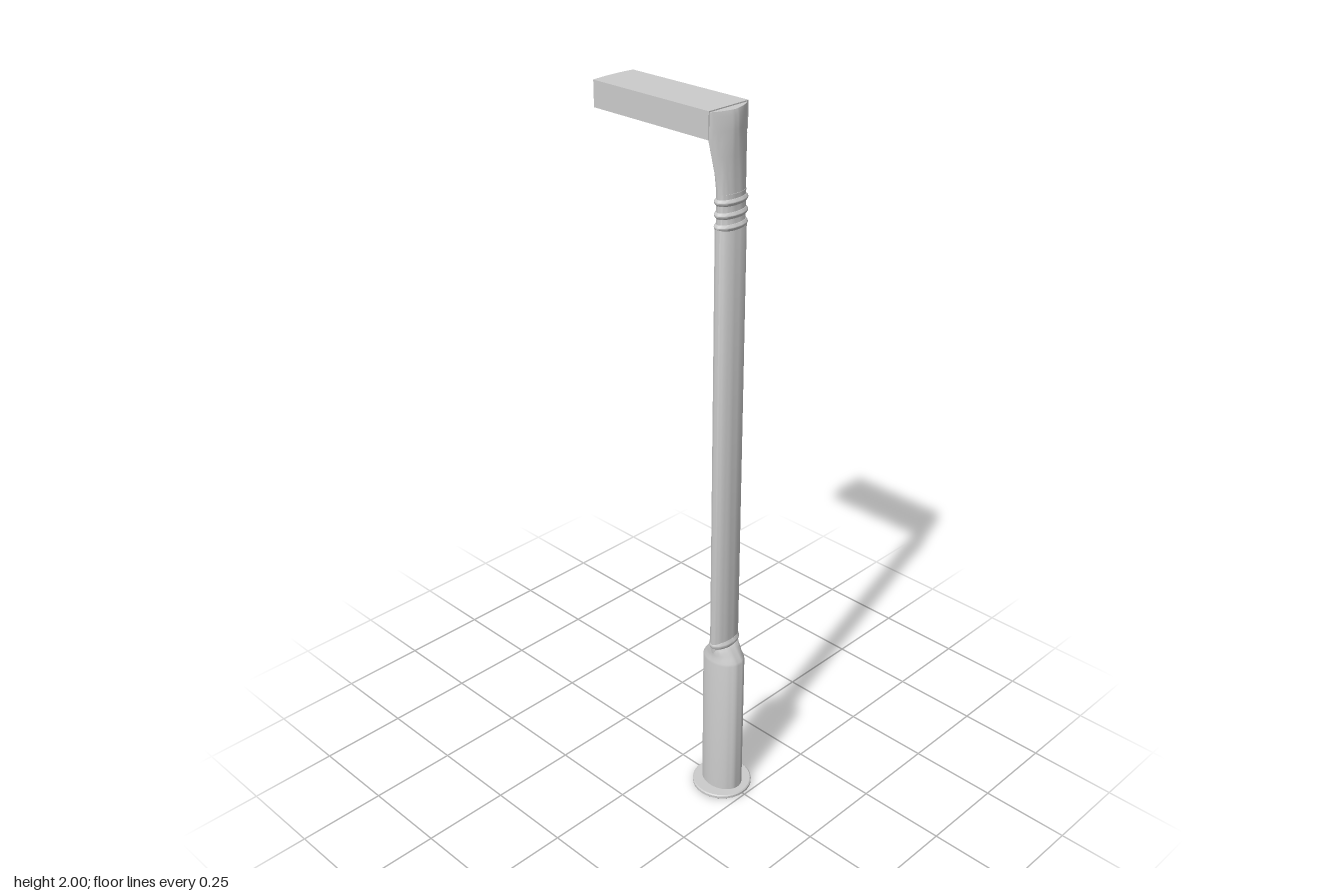
import * as THREE from 'three';
import { toCreasedNormals } from 'three/addons/utils/BufferGeometryUtils.js';

const material = new THREE.MeshStandardMaterial({ color: 0xcccccc });
const POST_X = 0.16;

function addMesh(group, name, geometry) {
  const mesh = new THREE.Mesh(toCreasedNormals(geometry, 0.6), material);
  mesh.name = name;
  group.add(mesh);
  return mesh;
}

// Closed loft of oval sections: [y, centre x, reach to -x, reach to +x, half depth, exponent]
function loft(sections, sides = 40) {
  const positions = [];
  const index = [];
  const power = (v, n) => Math.sign(v) * Math.abs(v) ** (2 / n);
  for (const [y, cx, left, right, depth, n = 2] of sections) {
    for (let j = 0; j < sides; j++) {
      const a = (j / sides) * Math.PI * 2;
      const c = Math.cos(a);
      positions.push(cx + (c > 0 ? right : left) * power(c, n), y, depth * power(Math.sin(a), n));
    }
  }
  const last = sections.length - 1;
  for (let i = 0; i < last; i++) {
    for (let j = 0; j < sides; j++) {
      const a = i * sides + j;
      const b = i * sides + ((j + 1) % sides);
      index.push(a, a + sides, b, b, a + sides, b + sides);
    }
  }
  // end caps
  const bottom = positions.length / 3;
  for (const s of [sections[0], sections[last]]) positions.push(s[1], s[0], 0);
  for (let j = 0; j < sides; j++) {
    const k = (j + 1) % sides;
    index.push(bottom, j, k, bottom + 1, last * sides + k, last * sides + j);
  }
  const geometry = new THREE.BufferGeometry();
  geometry.setAttribute('position', new THREE.Float32BufferAttribute(positions, 3));
  geometry.setIndex(index);
  return geometry;
}

// Symmetric oval section on the post axis
const oval = (y, rx, rz) => [y, POST_X, rx, rx, rz];

// Raised rounded band around the post
function band(y, height, rx, rz, bulge) {
  const sections = [];
  for (let i = 0; i <= 6; i++) {
    const t = i / 6;
    const out = bulge * Math.sin(t * Math.PI);
    sections.push(oval(y + (t - 0.5) * height, rx + out, rz + out));
  }
  return loft(sections);
}

export function createModel() {
  const model = new THREE.Group();
  model.name = 'streetLamp';

  // Ground flange with a dished underside
  const flange = [[0, 0.008], [0.052, 0.008], [0.058, 0], [0.082, 0], [0.085, 0.003], [0.085, 0.01], [0.082, 0.013], [0, 0.013]];
  addMesh(model, 'baseFlange', new THREE.LatheGeometry(flange.map(([r, y]) => new THREE.Vector2(r, y)), 32))
    .position.x = POST_X;

  // Wide oval base with a concave shoulder
  const base = [oval(0.01, 0.063, 0.05), oval(0.45, 0.063, 0.05), oval(0.457, 0.06, 0.049)];
  for (let i = 1; i <= 6; i++) {
    const a = (i / 6) * Math.PI / 2;
    base.push(oval(0.457 + 0.04 * Math.sin(a), 0.027 + 0.033 * (1 - Math.sin(a)) ** 0.8, 0.046));
  }
  addMesh(model, 'base', loft(base));
  addMesh(model, 'baseCollar', band(0.507, 0.022, 0.026, 0.046, 0.005));

  // Flat oval post
  addMesh(model, 'post', loft([oval(0.48, 0.025, 0.046), oval(0.515, 0.025, 0.05), oval(1.715, 0.024, 0.05), oval(1.72, 0.022, 0.046), oval(1.8, 0.022, 0.046)]));

  // Three ribs under the neck
  for (const y of [1.718, 1.748, 1.78]) addMesh(model, 'neckRib', band(y, 0.016, 0.024, 0.046, 0.005));

  // Neck flaring from the oval post to the flat-backed lamp mount
  addMesh(model, 'neck', loft([
    [1.78, 0.16, 0.022, 0.022, 0.046],
    [1.81, 0.159, 0.021, 0.021, 0.047],
    [1.85, 0.155, 0.016, 0.023, 0.051, 1.9],
    [1.89, 0.15, 0.011, 0.026, 0.058, 1.7],
    [1.925, 0.146, 0.006, 0.03, 0.064, 1.5],
    [1.95, 0.144, 0.004, 0.031, 0.066, 1.4],
    [1.985, 0.144, 0.004, 0.03, 0.066, 1.4],
    [1.997, 0.144, 0.004, 0.026, 0.066, 1.4],
  ]));

  // Lamp head: long box with a slightly bowed far end
  const outline = new THREE.Shape();
  outline.moveTo(0.147, -0.066);
  outline.lineTo(0.147, 0.068);
  outline.lineTo(-0.242, 0.068);
  outline.quadraticCurveTo(-0.252, 0.001, -0.242, -0.066);
  const head = new THREE.ExtrudeGeometry(outline, { depth: 0.068, bevelEnabled: false, curveSegments: 8 });
  addMesh(model, 'lampHead', head.rotateX(-Math.PI / 2).translate(0, 1.932, 0));

  return model;
}
